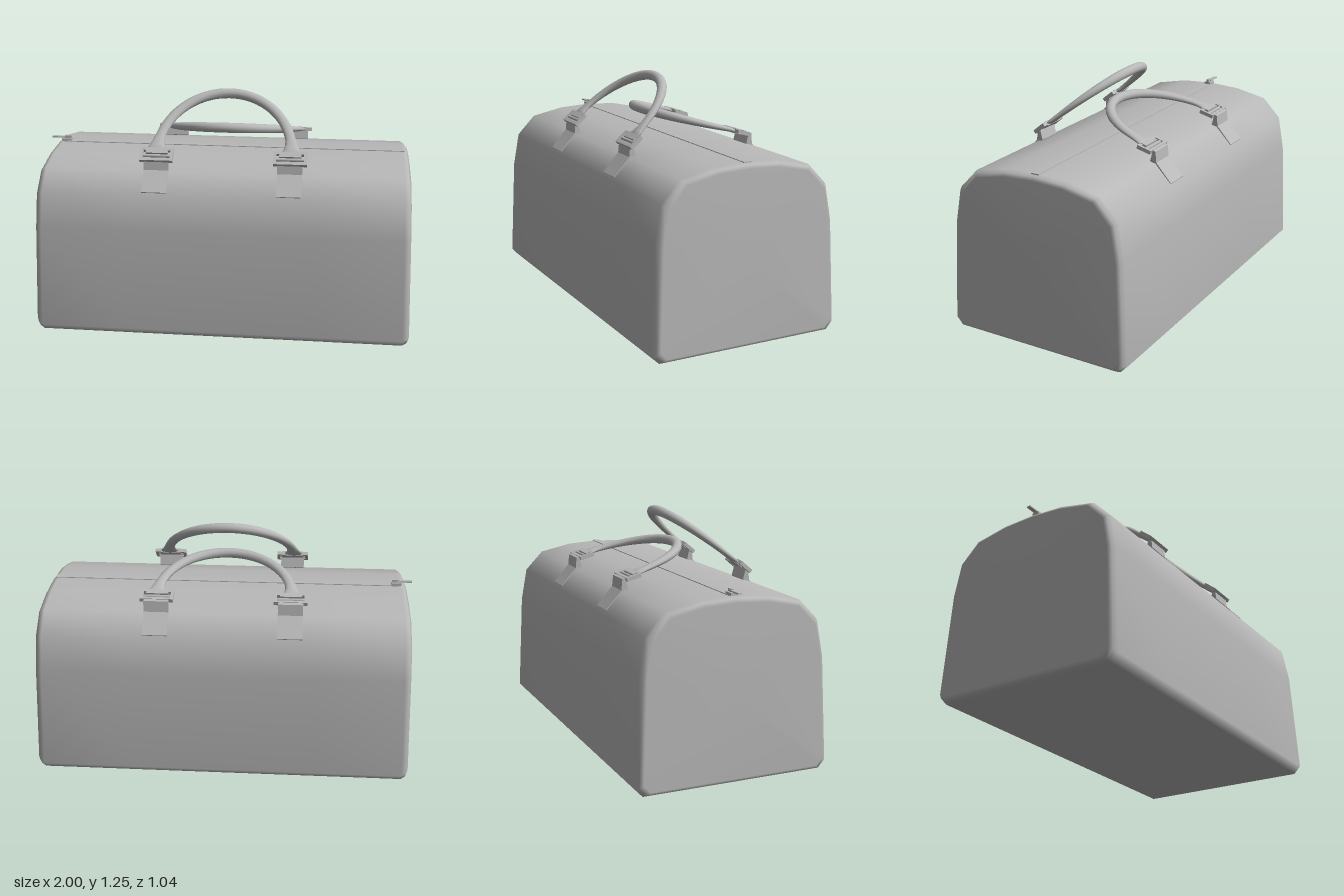
import * as THREE from 'three';

const grey = new THREE.MeshStandardMaterial({ color: 0xb8b8b8 });
grey.name = 'grey leather';

function add(parent, name, geometry, x = 0, y = 0, z = 0) {
  const mesh = new THREE.Mesh(geometry, grey);
  mesh.name = name;
  mesh.position.set(x, y, z);
  parent.add(mesh);
  return mesh;
}

// Smooth closed skin over rings of points, with a fan at each end
function loft(rings) {
  const n = rings[0].length, last = (rings.length - 1) * n;
  const points = rings.flat(), index = [];
  for (const ring of [rings[0], rings[rings.length - 1]]) {
    const box = new THREE.Box3().setFromPoints(ring);
    points.push(box.getCenter(new THREE.Vector3()));
  }
  const start = rings.length * n, end = start + 1;
  for (let j = 0; j < n; j++) {
    const k = (j + 1) % n;
    for (let i = 0; i < last; i += n) {
      index.push(i + j, i + k, i + n + k, i + j, i + n + k, i + n + j);
    }
    index.push(start, k, j, end, last + j, last + k);
  }
  const geometry = new THREE.BufferGeometry().setFromPoints(points);
  geometry.setIndex(index);
  geometry.computeVertexNormals();
  return geometry;
}

// Domed bag body: one side profile swept along x, rounded in at both ends
function bodyGeometry() {
  const half = [[0.18, 0.92], [0.36, 0.882], [0.462, 0.775], [0.495, 0.59], [0.52, 0.04], [0.482, 0]];
  const profile = [[0, 0.93], ...half, ...half.map(([z, y]) => [-z, y]).reverse()];
  const stations = [[-1, 0.94], [-0.988, 0.977], [-0.965, 1], [-0.5, 1], [0, 1], [0.5, 1],
    [0.965, 1], [0.988, 0.977], [1, 0.94]];
  return loft(stations.map(([x, s]) => profile.map(([z, y]) => {
    const py = 0.46 + (y - 0.46) * s;
    return new THREE.Vector3(x * (1 - 0.03 * py), py, z * s);
  })));
}

// Arched grip: flat and flared at the ends, round at the crown
function gripGeometry() {
  const a = 0.355, b = 0.385, rings = [];
  for (let i = 0; i <= 40; i++) {
    const t = Math.PI * i / 40, rise = Math.sin(t);
    const flare = Math.max(0, 1 - rise / 0.28) ** 2;
    const wide = 0.027 + 0.028 * flare, thick = 0.012 + 0.015 * rise;
    const out = new THREE.Vector3(b * Math.cos(t), a * rise, 0).normalize();
    const centre = new THREE.Vector3(a * Math.cos(t), b * rise, 0);
    rings.push(Array.from({ length: 12 }, (_, j) => {
      const p = j / 12 * Math.PI * 2;
      const v = centre.clone().addScaledVector(out, wide * Math.cos(p));
      v.z -= thick * Math.sin(p);
      return v;
    }));
  }
  return loft(rings);
}

// Rectangular ring for the buckles
function buckleGeometry(w, h, bar, depth) {
  const shape = new THREE.Shape(), hole = new THREE.Path();
  const rect = (path, x, y) => path.moveTo(-x, -y).lineTo(x, -y).lineTo(x, y).lineTo(-x, y).closePath();
  rect(shape, w / 2, h / 2);
  rect(hole, w / 2 - bar, h / 2 - bar);
  shape.holes.push(hole);
  return new THREE.ExtrudeGeometry(shape, { depth, bevelEnabled: false }).translate(0, 0, -depth / 2);
}

// Strap tab lying on the shoulder of the bag and looping up to the buckle
function strapGeometry() {
  const outline = [[0.448, 0.782], [0.451, 0.792], [0.366, 0.887], [0.36, 0.945], [0.345, 0.95],
    [0.33, 0.892], [0.34, 0.87], [0.37, 0.862]];
  const shape = new THREE.Shape(outline.map(([z, y]) => new THREE.Vector2(z, y)));
  return new THREE.ExtrudeGeometry(shape, { depth: 0.13, bevelEnabled: false })
    .translate(0, 0, -0.065).rotateY(-Math.PI / 2);
}

// One handle with its two buckles and straps, on the +z side
function handleSet(name, baseY, baseZ, tilt) {
  const set = new THREE.Group();
  set.name = name;
  const swing = new THREE.Group();
  swing.name = 'swingingHandle';
  swing.position.set(0, baseY, baseZ);
  swing.rotation.x = tilt;
  set.add(swing);
  add(swing, 'grip', gripGeometry());
  for (const side of [-1, 1]) {
    const x = side * 0.35;
    add(swing, 'buckle', buckleGeometry(0.175, 0.08, 0.016, 0.02), x, -0.03, 0);
    add(swing, 'gripEnd', new THREE.BoxGeometry(0.115, 0.035, 0.026), x, -0.008, 0);
    add(swing, 'buckleBar', new THREE.CylinderGeometry(0.009, 0.009, 0.16, 10).rotateZ(Math.PI / 2), x, -0.035, 0);
    add(set, 'strap', strapGeometry(), x);
  }
  return set;
}

export function createModel() {
  const bag = new THREE.Group();
  bag.name = 'duffelBag';
  add(bag, 'body', bodyGeometry());

  // Raised front handle, and a lower one behind it
  bag.add(handleSet('frontHandle', 0.98, 0.312, -0.876));
  const back = handleSet('backHandle', 0.96, 0.275, -1.32);
  back.rotation.y = Math.PI;
  bag.add(back);

  // Zip along the ridge, with its slider and pull tab
  add(bag, 'zip', new THREE.BoxGeometry(1.88, 0.006, 0.042), 0.01, 0.93, 0);
  add(bag, 'zipSlider', new THREE.BoxGeometry(0.055, 0.014, 0.038), -0.917, 0.938, 0);
  add(bag, 'zipBridge', new THREE.BoxGeometry(0.035, 0.016, 0.014), -0.91, 0.952, 0);
  add(bag, 'zipPull', new THREE.BoxGeometry(0.09, 0.007, 0.022), -0.955, 0.951, 0);
  return bag;
}
